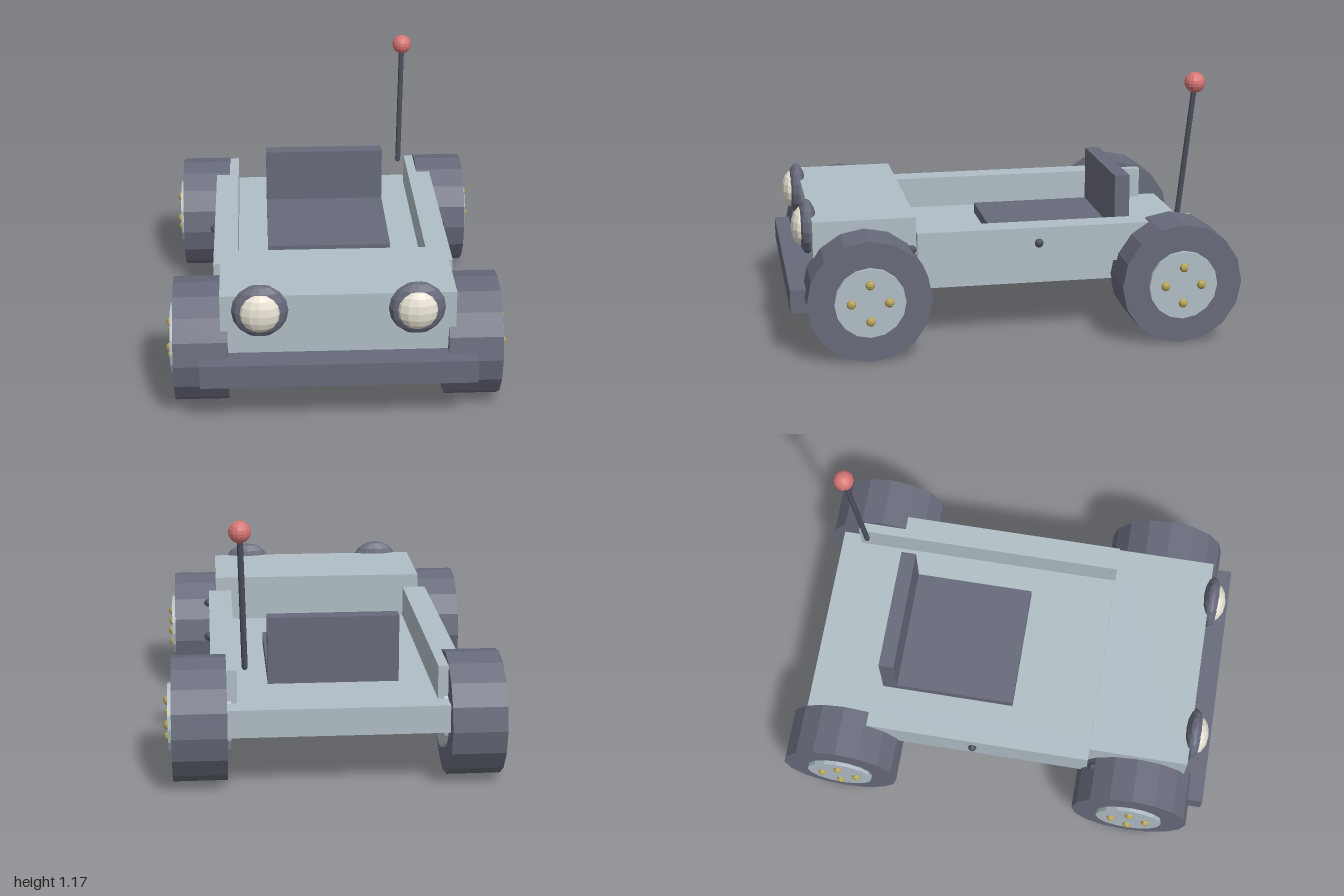
import * as THREE from 'three';

export function createModel() {
  const model = new THREE.Group();
  const mat = (name, color) => {
    const m = new THREE.MeshStandardMaterial({ color, flatShading: true });
    m.name = name;
    return m;
  };
  const body = mat('pale blue grey', 0xb0bec5);
  const dark = mat('slate', 0x676a7a);
  const metal = mat('dark metal', 0x4b4f5c);
  const brass = mat('brass', 0xb5a257);
  const cream = mat('cream', 0xece6d8);
  const red = mat('coral red', 0xd87575);

  const add = (parent, name, geometry, material, x, y, z) => {
    const mesh = new THREE.Mesh(geometry, material);
    mesh.name = name;
    mesh.position.set(x, y, z);
    parent.add(mesh);
    return mesh;
  };
  // box given by its limits on each axis
  const block = (name, material, [x0, x1], [y0, y1], [z0, z1]) =>
    add(model, name, new THREE.BoxGeometry(x1 - x0, y1 - y0, z1 - z0), material,
      (x0 + x1) / 2, (y0 + y1) / 2, (z0 + z1) / 2);
  const ellipsoid = (rx, ry, rz, w = 12, h = 8) =>
    new THREE.SphereGeometry(1, w, h).scale(rx, ry, rz);
  const axle = (radius, width, sides) =>
    new THREE.CylinderGeometry(radius, radius, width, sides).rotateZ(Math.PI / 2);

  // body, seat and bumper
  block('chassis', body, [-0.49, 0.49], [0.25, 0.373], [-0.93, 0.88]);
  block('hood', body, [-0.505, 0.505], [0.373, 0.585], [0.435, 0.89]);
  block('bumper', dark, [-0.595, 0.595], [0.205, 0.31], [0.88, 1]);
  block('seatCushion', dark, [-0.29, 0.29], [0.373, 0.42], [-0.52, 0.04]);
  block('seatBack', dark, [-0.29, 0.29], [0.373, 0.675], [-0.59, -0.52]);

  // wheel with a through hub and four bolts on each face
  const tireGeo = axle(0.2725, 0.235, 16);
  const hubGeo = axle(0.155, 0.27, 16);
  const boltGeo = ellipsoid(0.02, 0.021, 0.021, 8, 6);
  const makeWheel = (name, x, z) => {
    const wheel = new THREE.Group();
    wheel.name = name;
    wheel.position.set(x, 0.2745, z);
    add(wheel, 'tire', tireGeo, dark, 0, 0, 0);
    add(wheel, 'hub', hubGeo, body, 0, 0, 0);
    for (const face of [-1, 1]) {
      for (let i = 0; i < 4; i++) {
        const a = i * Math.PI / 2;
        add(wheel, 'wheelBolt', boltGeo, brass, face * 0.135, Math.sin(a) * 0.082, Math.cos(a) * 0.082);
      }
    }
    model.add(wheel);
  };

  // mirrored parts
  const railBoltGeo = ellipsoid(0.02, 0.02, 0.02, 8, 6);
  for (const s of [-1, 1]) {
    const side = s > 0 ? 'left' : 'right';
    block(side + 'Rail', body, s > 0 ? [0.43, 0.54] : [-0.54, -0.43], [0.35, 0.52], [-0.837, 0.435]);
    for (const z of [-0.68, -0.11, 0.46]) {
      add(model, side + 'RailBolt', railBoltGeo, metal, s * 0.545, 0.45, z);
    }
    makeWheel(side + 'FrontWheel', s * 0.592, 0.665);
    makeWheel(side + 'RearWheel', s * 0.592, -0.727);
    add(model, side + 'LampRim', ellipsoid(0.122, 0.122, 0.046), dark, s * 0.335, 0.522, 0.902);
    add(model, side + 'LampLens', ellipsoid(0.09, 0.09, 0.052), cream, s * 0.335, 0.522, 0.922);
  }

  // leaning aerial with a ball on top
  const foot = new THREE.Vector3(0.395, 0.52, -0.79);
  const tip = new THREE.Vector3(0.41, 1.125, -0.85);
  const rod = new THREE.TubeGeometry(new THREE.LineCurve3(foot, tip), 1, 0.013, 8);
  add(model, 'aerialRod', rod, metal, 0, 0, 0);
  add(model, 'aerialFoot', ellipsoid(0.013, 0.013, 0.013, 8, 6), metal, foot.x, foot.y, foot.z);
  add(model, 'aerialBall', ellipsoid(0.047, 0.047, 0.047, 14, 10), red, tip.x, tip.y, tip.z);

  return model;
}
